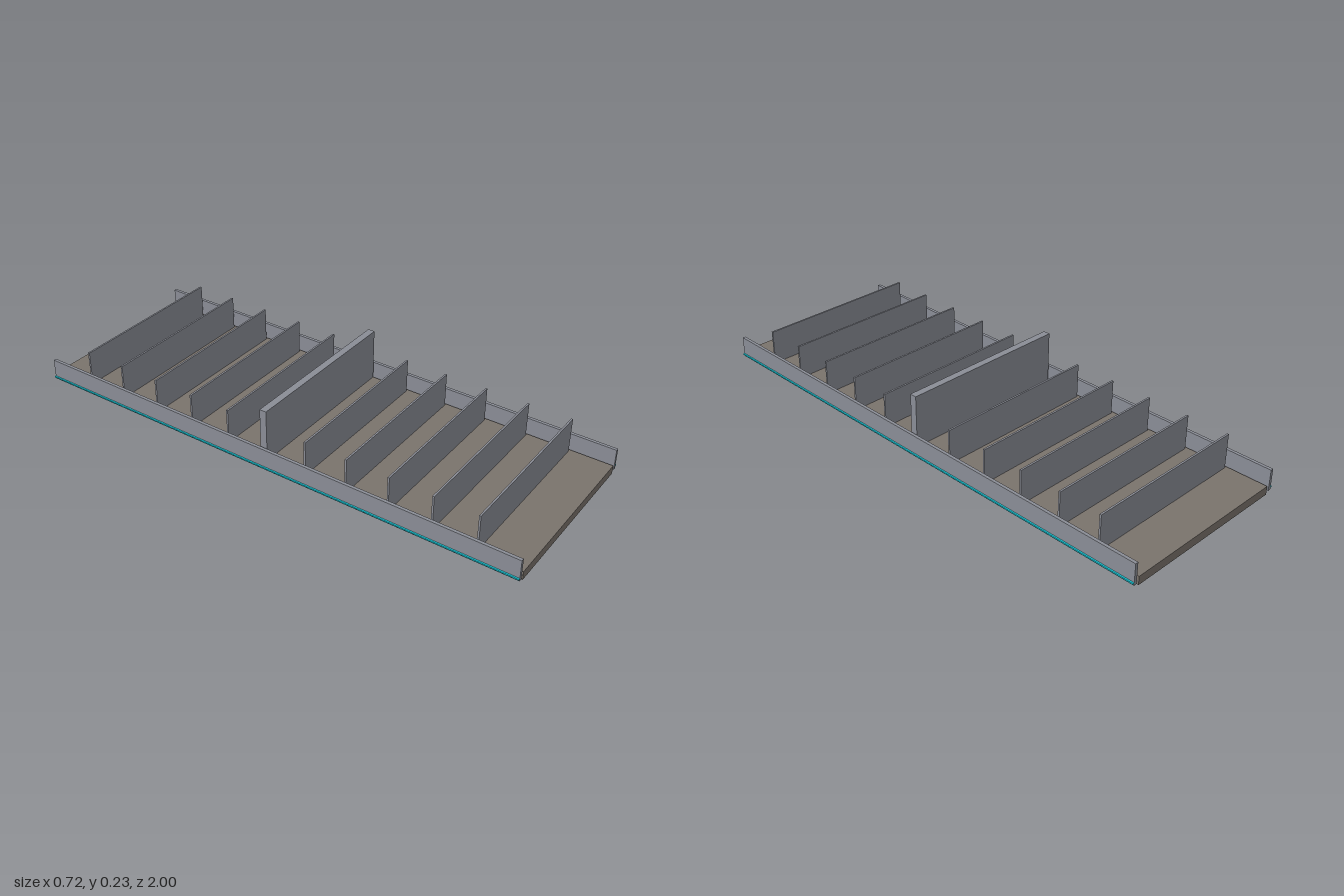
import * as THREE from 'three';

export function createModel() {
  const model = new THREE.Group();
  const deckMat = new THREE.MeshStandardMaterial({ color: 0x7a736c });
  const panelMat = new THREE.MeshStandardMaterial({ color: 0x8a8d96 });
  const stripMat = new THREE.MeshStandardMaterial({ color: 0x18c8d8 });

  // Box given by its size, centre x and z, and bottom height
  function box(name, mat, w, h, d, x, bottom, z) {
    const mesh = new THREE.Mesh(new THREE.BoxGeometry(w, h, d), mat);
    mesh.name = name;
    mesh.position.set(x, bottom + h / 2, z);
    model.add(mesh);
  }

  // Flat deck
  box('deck', deckMat, 0.666, 0.033, 2, 0, 0, 0);

  // Thin cross dividers at even spacing, with a taller, thicker one in the middle
  for (let i = -5; i <= 5; i++) {
    if (i === 0) box('centreDivider', panelMat, 0.666, 0.202, 0.027, 0, 0.033, 0);
    else box('divider', panelMat, 0.648, 0.134, 0.007, 0, 0.033, i / 6);
  }

  // Side rails with a coloured strip along the outer face
  for (const [side, sign] of [['left', 1], ['right', -1]]) {
    box(side + 'Rail', panelMat, 0.012, 0.082, 2, sign * 0.349, 0.01, 0);
    box(side + 'Strip', stripMat, 0.006, 0.005, 2, sign * 0.358, 0.017, 0);
  }
  return model;
}
